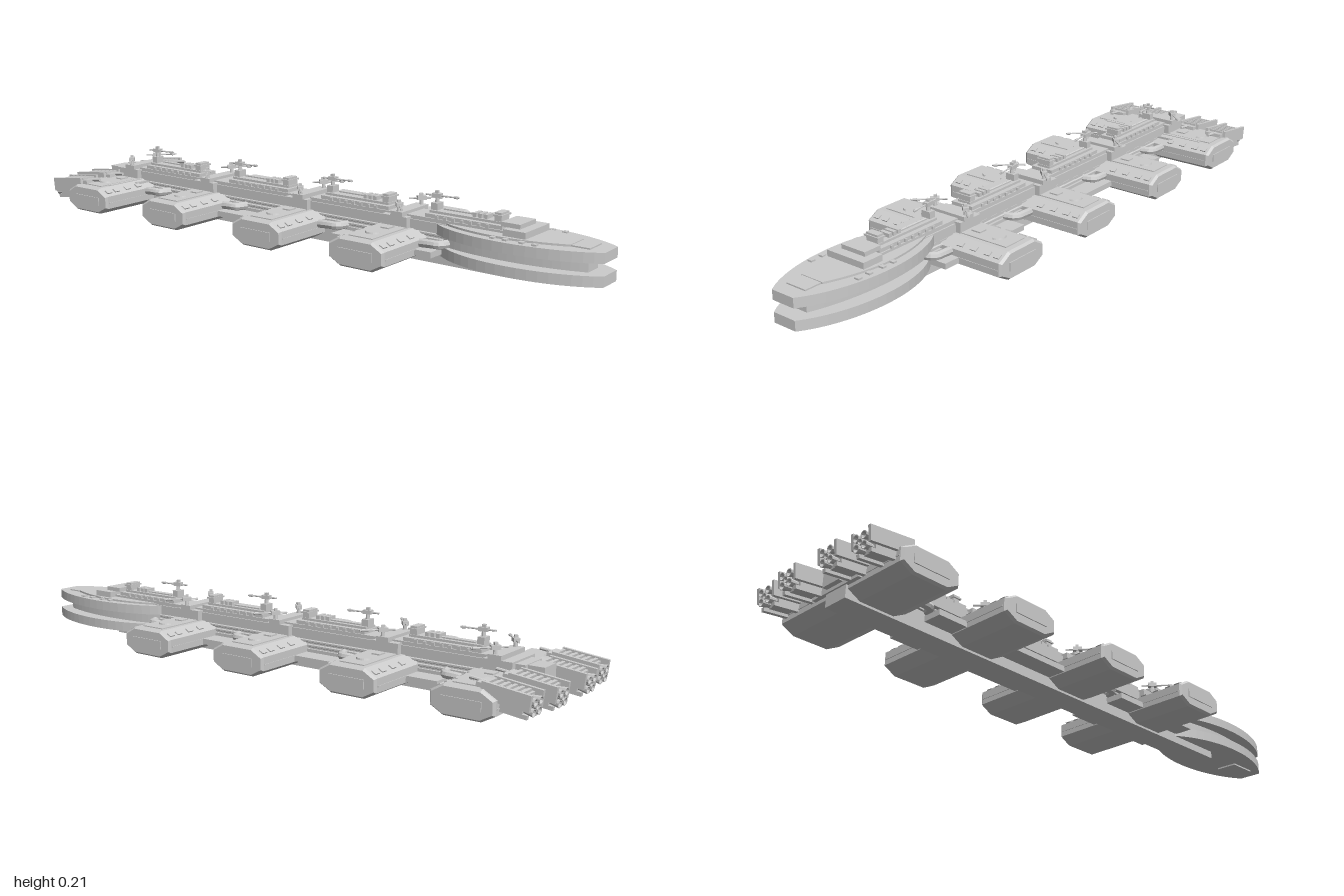
import * as THREE from 'three';

const mat = new THREE.MeshStandardMaterial({ color: 0xcccccc, flatShading: true });

function add(parent, name, geo, x = 0, y = 0, z = 0) {
  const m = new THREE.Mesh(geo, mat);
  m.name = name;
  m.position.set(x, y, z);
  parent.add(m);
  return m;
}
// Box given by its limits
function box(parent, name, x0, x1, y0, y1, z0, z1) {
  return add(parent, name, new THREE.BoxGeometry(x1 - x0, y1 - y0, z1 - z0),
    (x0 + x1) / 2, (y0 + y1) / 2, (z0 + z1) / 2);
}
const wide = (p, name, w, y0, y1, z0, z1) => box(p, name, -w, w, y0, y1, z0, z1);
// Cylinder along an axis
function rod(parent, name, r, len, axis, x, y, z, r2 = r, sides = 10) {
  const g = new THREE.CylinderGeometry(r2, r, len, sides);
  if (axis === 'x') g.rotateZ(-Math.PI / 2);
  if (axis === 'z') g.rotateX(Math.PI / 2);
  return add(parent, name, g, x, y, z);
}

// Lens-shaped bow plate with a blunt nose
function bowPlate(parent, name, w, y0, y1, zBack, zFront, nose) {
  const s = new THREE.Shape();
  s.moveTo(nose, -zFront);
  s.bezierCurveTo(w * 1.12, -zFront + 0.13, w * 1.2, -zBack - 0.13, 0.04, -zBack);
  s.lineTo(-0.04, -zBack);
  s.bezierCurveTo(-w * 1.2, -zBack - 0.13, -w * 1.12, -zFront + 0.13, -nose, -zFront);
  const g = new THREE.ExtrudeGeometry(s, { depth: y1 - y0, bevelEnabled: false, curveSegments: 18 });
  g.rotateX(-Math.PI / 2);
  return add(parent, name, g, 0, y0, 0);
}

// Transverse pod: octagonal section running across the ship
function pod(z) {
  const g = new THREE.Group();
  g.name = 'crossPod';
  const pts = [[-0.055, 0.013], [0.055, 0.013], [0.092, 0.033], [0.092, 0.068],
    [0.055, 0.089], [-0.055, 0.089], [-0.092, 0.068], [-0.092, 0.033]];
  const s = new THREE.Shape(pts.map(p => new THREE.Vector2(...p)));
  const geo = new THREE.ExtrudeGeometry(s, { depth: 0.508, bevelSize: 0.006, bevelThickness: 0.008, bevelSegments: 1 });
  geo.translate(0, 0, -0.254).rotateY(Math.PI / 2);
  add(g, 'podHull', geo);
  for (const d of [-1, 1]) {
    box(g, 'podDeck', d * 0.145 - 0.09, d * 0.145 + 0.09, 0.094, 0.098, -0.042, 0.042);
    box(g, 'deckHatch', d * 0.1 - 0.016, d * 0.1 + 0.016, 0.097, 0.102, -0.014, 0.014);
    const dome = new THREE.CylinderGeometry(0.024, 0.026, 0.006, 12, 1, false, d > 0 ? 0 : Math.PI, Math.PI);
    add(g, 'deckDome', dome, d * 0.17, 0.1, 0);
    box(g, 'endPlate', d * 0.262 - 0.003, d * 0.262 + 0.003, 0.037, 0.064, -0.06, 0.06);
    for (const f of [-1, 1]) {
      for (const x of [0.1, 0.15, 0.2, 0.235]) {
        const w = add(g, 'slopeHatch', new THREE.BoxGeometry(0.021, 0.005, 0.016), d * x, 0.083, f * 0.08);
        w.rotation.x = f * 0.52;
      }
      box(g, 'sideRail', d * 0.16 - 0.09, d * 0.16 + 0.09, 0.046, 0.05, f * 0.098 - 0.002, f * 0.098 + 0.002);
    }
  }
  g.position.z = z;
  return g;
}

// Gun mount on a post, barrel along +z before turning
function gun(parent, x, y, z, turn, len) {
  const g = new THREE.Group();
  g.name = 'gunMount';
  rod(g, 'gunPost', 0.007, 0.024, 'y', 0, 0.01, 0, 0.005, 8);
  box(g, 'gunBody', -0.009, 0.009, 0.014, 0.026, -0.014, 0.014);
  box(g, 'gunSight', -0.005, 0.005, 0.026, 0.034, -0.006, 0.004);
  rod(g, 'gunBarrel', 0.003, len, 'z', 0, 0.019, len / 2, 0.0025, 6);
  rod(g, 'gunMuzzle', 0.0045, 0.012, 'z', 0, 0.019, len * 0.85, 0.0045, 6);
  rod(g, 'gunTail', 0.003, 0.03, 'z', 0, 0.019, -0.022, 0.003, 6);
  g.position.set(x, y, z);
  g.rotation.y = turn;
  parent.add(g);
}

// Deckhouse running back from z, with stepped roof, vents and a gun
function deckhouse(z) {
  const g = new THREE.Group();
  g.name = 'deckhouse';
  wide(g, 'houseBase', 0.04, 0.13, 0.144, -0.255, 0);
  wide(g, 'houseRoof', 0.024, 0.144, 0.151, -0.25, -0.01);
  wide(g, 'bridge', 0.022, 0.144, 0.176, -0.035, -0.012);
  wide(g, 'bridgeBrow', 0.027, 0.165, 0.17, -0.037, -0.008);
  for (let i = 0; i < 3; i++) wide(g, 'ventStack', 0.018, 0.151, 0.163, -0.072 - i * 0.018, -0.06 - i * 0.018);
  for (const d of [-1, 1]) for (let i = 0; i < 7; i++)
    box(g, 'sideRib', d * 0.042 - 0.003, d * 0.042 + 0.003, 0.122, 0.142, -0.05 - i * 0.028, -0.04 - i * 0.028);
  rod(g, 'roofPipe', 0.004, 0.11, 'z', 0.008, 0.153, -0.165, 0.004, 6);
  wide(g, 'gunPlinth', 0.016, 0.15, 0.172, -0.25, -0.228);
  gun(g, 0, 0.173, -0.239, 0.12, 0.07);
  g.position.z = z;
  return g;
}

// Thruster cluster: ribbed housing, clamp frames and a ring of nozzles
function thruster(x, z) {
  const g = new THREE.Group();
  g.name = 'thruster';
  box(g, 'thrusterHousing', -0.03, 0.03, -0.025, 0.027, -0.085, 0.055);
  for (let i = 0; i < 6; i++)
    box(g, 'coolingRib', -0.024, 0.024, 0.026, 0.034, -0.078 + i * 0.02, -0.069 + i * 0.02);
  for (const d of [-1, 1]) {
    box(g, 'sideFrame', d * 0.035 - 0.005, d * 0.035 + 0.005, -0.01, 0.036, -0.108, 0.035);
    box(g, 'lowerFrame', d * 0.024 - 0.006, d * 0.024 + 0.006, -0.034, -0.022, -0.1, 0.03);
    for (const f of [-1, 1]) nozzle(d * 0.016, f * 0.014, 0.012);
  }
  function nozzle(nx, ny, r) {
    const pts = [[r * 0.6, 0], [r, 0.03], [r * 0.8, 0.03], [r * 0.35, 0.008], [0, 0.008]];
    const geo = new THREE.LatheGeometry(pts.map(p => new THREE.Vector2(...p)), 10).rotateX(-Math.PI / 2);
    const m = add(g, 'nozzle', geo, nx, ny, -0.082);
    m.material = mat.clone();
    m.material.side = THREE.DoubleSide;
  }
  nozzle(0, 0, 0.009);
  rod(g, 'feedPipe', 0.005, 0.06, 'z', 0, 0.024, 0.06, 0.005, 8);
  g.position.set(x, 0.076, z);
  g.rotation.x = -0.12;
  return g;
}

export function createModel() {
  const ship = new THREE.Group();
  ship.name = 'ship';

  // Keel and spine
  wide(ship, 'keel', 0.043, 0, 0.06, -0.9, 0.7);
  wide(ship, 'spineCore', 0.035, 0.05, 0.12, -0.92, 0.72);
  wide(ship, 'spineTop', 0.05, 0.092, 0.122, -0.87, 0.52);
  for (const [a, b] of [[0.01, 0.71], [-0.76, -0.005]]) wide(ship, 'spineDeck', 0.045, 0.12, 0.133, a, b);
  for (const [a, b] of [[0.14, 0.5], [-0.63, -0.1]]) wide(ship, 'lowerShelf', 0.106, 0.032, 0.05, a, b);
  wide(ship, 'sternBlock', 0.1, 0.04, 0.092, -0.905, -0.72);
  wide(ship, 'sternDeck', 0.2, 0.086, 0.097, -0.87, -0.74);

  // Double bow
  bowPlate(ship, 'lowerBow', 0.12, 0.024, 0.055, 0.49, 1, 0.04);
  bowPlate(ship, 'middleBow', 0.07, 0.055, 0.09, 0.5, 0.95, 0.03);
  bowPlate(ship, 'upperBow', 0.12, 0.09, 0.12, 0.47, 1, 0.04);
  bowPlate(ship, 'bowDeck', 0.085, 0.12, 0.126, 0.5, 0.9, 0.04);
  wide(ship, 'bowCabin', 0.07, 0.124, 0.145, 0.71, 0.78);
  wide(ship, 'bowCabinRoof', 0.045, 0.145, 0.158, 0.69, 0.75);
  wide(ship, 'bowHatch', 0.036, 0.119, 0.124, 0.88, 0.955);
  wide(ship, 'bowKeelHatch', 0.036, 0.019, 0.026, 0.85, 0.95);
  wide(ship, 'noseBlock', 0.038, 0.028, 0.052, 0.96, 1);
  for (const d of [-1, 1]) for (const z of [0.69, 0.73, 0.78, 0.82])
    box(ship, 'bowVent', d * 0.09 - 0.008, d * 0.09 + 0.008, 0.119, 0.125, z - 0.007, z + 0.007);

  // Pods with paired side guns and linking pipes
  for (const z of [0.345, -0.03, -0.43, -0.795]) {
    ship.add(pod(z));
    wide(ship, 'podSaddle', 0.068, 0.09, 0.128, z - 0.045, z + 0.045);
    wide(ship, 'gunPlatform', 0.07, 0.128, 0.142, z - 0.012, z + 0.03);
    for (const d of [-1, 1]) gun(ship, d * 0.06, 0.142, z + 0.012, d * 0.85, 0.07);
  }
  for (const z of [0.475, 0.105, -0.665, -0.31]) for (const d of [-1, 1]) {
    const path = new THREE.CatmullRomCurve3([[0.07, 0.06, -0.05], [0.075, 0.065, 0], [0.07, 0.065, 0.03], [0.035, 0.065, 0.045]]
      .map(([x, y, pz]) => new THREE.Vector3(d * x, y, z + pz)));
    add(ship, 'linkPipe', new THREE.TubeGeometry(path, 12, 0.013, 8));
  }

  // Side conduits between the pods
  for (const d of [-1, 1]) for (const y of [0.07, 0.084])
    rod(ship, 'sideConduit', 0.005, 1.3, 'z', d * 0.038, y, -0.15, 0.005, 6);

  for (const z of [0.69, 0.305, -0.085, -0.475]) ship.add(deckhouse(z));

  // Stern thrusters
  for (const d of [-1, 1]) {
    ship.add(thruster(d * 0.088, -0.89));
    ship.add(thruster(d * 0.207, -0.875));
  }
  return ship;
}
